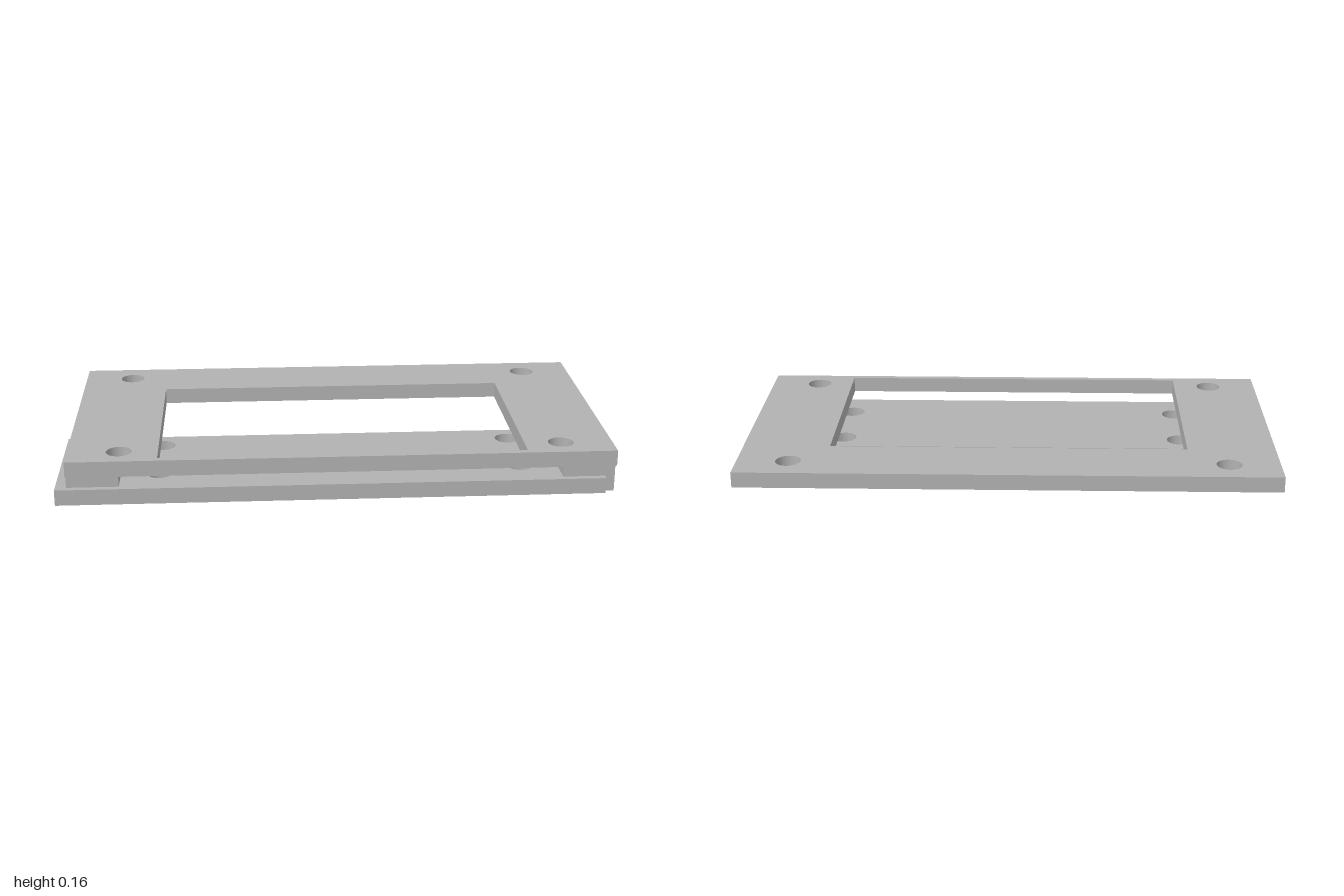
import * as THREE from 'three';

const T = 0.058; // plate thickness
const HOLE_R = 0.046;

// Horizontal plate with cut-outs; shape coordinates are (x, -z)
function plate(name, mat, [x0, x1, z0, z1], y, height, holes, windowRect) {
  const rect = (target, a, b, c, d) => {
    target.moveTo(a, -d);
    target.lineTo(b, -d);
    target.lineTo(b, -c);
    target.lineTo(a, -c);
    target.closePath();
    return target;
  };
  const shape = rect(new THREE.Shape(), x0, x1, z0, z1);
  if (windowRect) shape.holes.push(rect(new THREE.Path(), ...windowRect));
  for (const [x, z] of holes) {
    shape.holes.push(new THREE.Path().absarc(x, -z, HOLE_R, 0, Math.PI * 2, true));
  }
  const geo = new THREE.ExtrudeGeometry(shape, { depth: height, bevelEnabled: false, curveSegments: 32 });
  geo.rotateX(-Math.PI / 2).translate(0, y, 0);
  const mesh = new THREE.Mesh(geo, mat);
  mesh.name = name;
  return mesh;
}

// Box given by its limits on each axis
function block(name, mat, [x0, x1], [y0, y1], [z0, z1]) {
  const geo = new THREE.BoxGeometry(x1 - x0, y1 - y0, z1 - z0);
  geo.translate((x0 + x1) / 2, (y0 + y1) / 2, (z0 + z1) / 2);
  const mesh = new THREE.Mesh(geo, mat);
  mesh.name = name;
  return mesh;
}

export function createModel() {
  const grey = new THREE.MeshStandardMaterial({ color: 0xb2b2b2 });
  grey.name = 'plain grey';
  const model = new THREE.Group();
  model.name = 'mountingBracket';

  const grid = (xs, zs) => xs.flatMap((x) => zs.map((z) => [x, z]));
  const spacerZ = [0.023, 0.482];
  const top = 0.163 - T;

  // Upper frame with window and four corner holes
  model.add(plate('upperFrame', grey, [-0.96, 1, -0.505, 0.505], top, T,
    grid([-0.775, 0.813], [-0.395, 0.41]), [-0.636, 0.68, -0.255, 0.481]));

  // Lower plate, offset sideways, with four holes
  model.add(plate('lowerPlate', grey, [-1, 0.965, 0, 0.505], 0, T,
    grid([-0.635, 0.675], [0.09, 0.365])));

  // Spacers between the plates, and the end wall covering the lower plate's end
  model.add(block('rightSpacer', grey, [-0.96, -0.775], [T, top], spacerZ));
  model.add(block('leftSpacer', grey, [0.813, 1], [T, top], spacerZ));
  model.add(block('endWall', grey, [0.965, 1], [0, T], spacerZ));

  return model;
}
